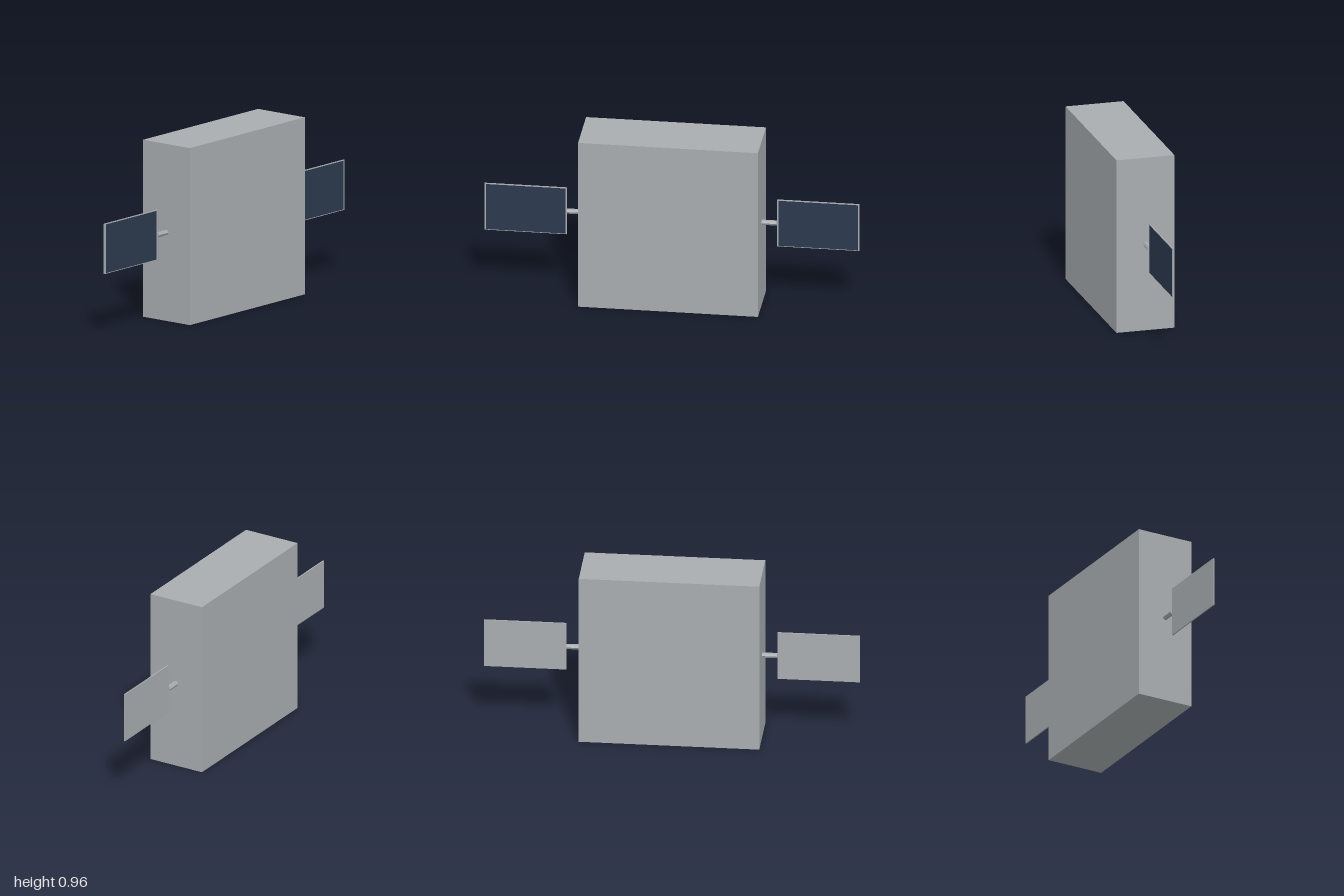
import * as THREE from 'three';

export function createModel() {
  const model = new THREE.Group();
  const bodyGrey = new THREE.MeshStandardMaterial({ color: 0xa8adb0 });
  bodyGrey.name = 'bodyGrey';
  const cellBlue = new THREE.MeshStandardMaterial({ color: 0x2c3a4e });
  cellBlue.name = 'cellBlue';
  const midY = 0.48;

  const add = (name, geometry, material, x, y, z) => {
    const mesh = new THREE.Mesh(geometry, material);
    mesh.name = name;
    mesh.position.set(x, y, z);
    model.add(mesh);
  };

  // Square main body
  add('body', new THREE.BoxGeometry(0.96, 0.96, 0.32), bodyGrey, 0, midY, 0);

  // Hexagonal arm, panel and front cell face on each side
  const armGeometry = new THREE.CylinderGeometry(0.014, 0.014, 0.08, 6).toNonIndexed();
  armGeometry.rotateZ(Math.PI / 2);
  armGeometry.computeVertexNormals();
  const panelGeometry = new THREE.BoxGeometry(0.44, 0.272, 0.007);
  const cellGeometry = new THREE.PlaneGeometry(0.424, 0.264);

  for (const [side, s] of [['left', 1], ['right', -1]]) {
    add(side + 'Arm', armGeometry, bodyGrey, s * 0.52, midY, 0);
    add(side + 'Panel', panelGeometry, bodyGrey, s * 0.78, midY + 0.001, 0);
    add(side + 'SolarCells', cellGeometry, cellBlue, s * 0.78, midY + 0.001, 0.0045);
  }

  return model;
}
